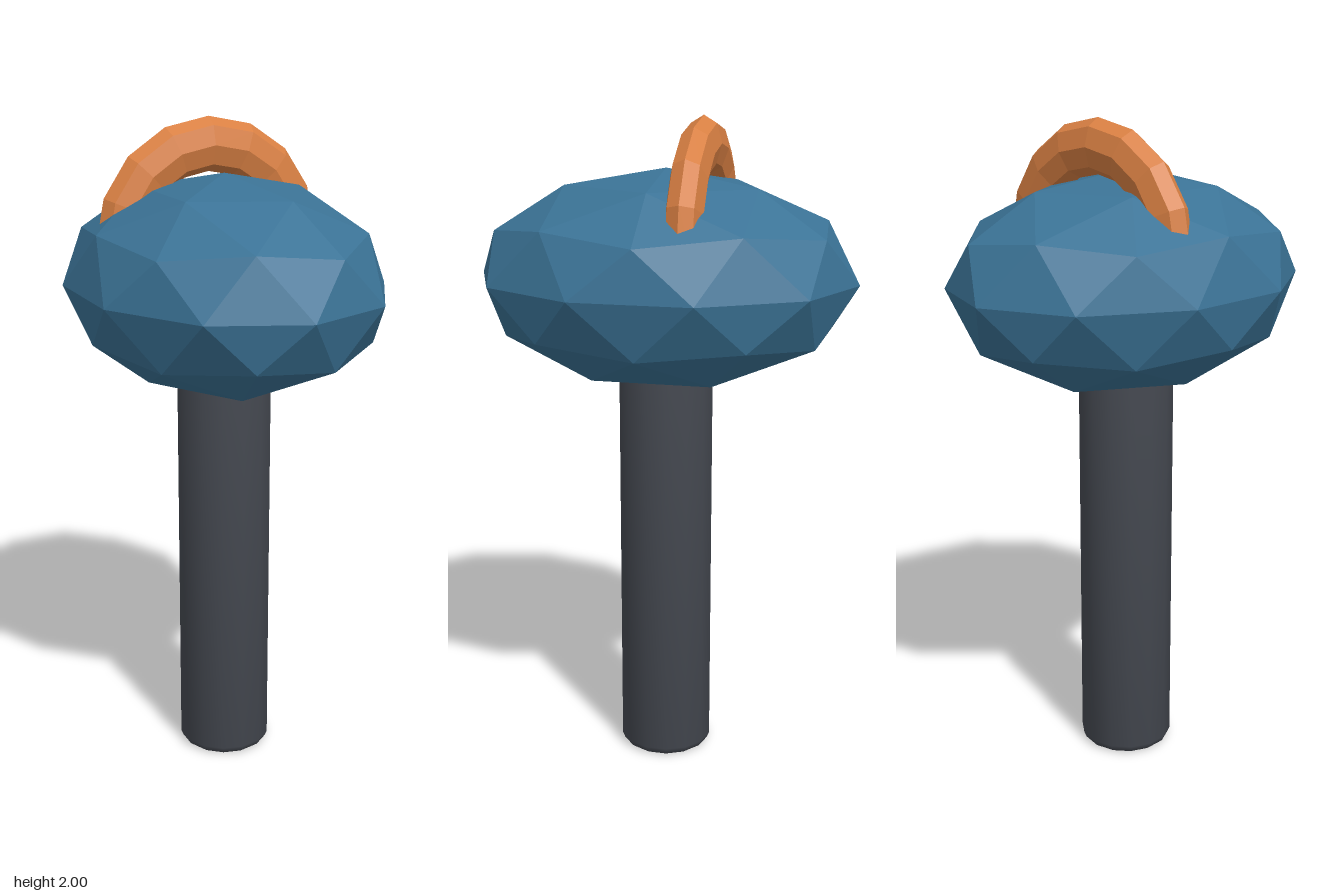
import * as THREE from 'three';
import { toCreasedNormals } from 'three/addons/utils/BufferGeometryUtils.js';

function part(name, geometry, color, flatShading = false) {
  const mesh = new THREE.Mesh(geometry, new THREE.MeshStandardMaterial({ color, flatShading }));
  mesh.name = name;
  return mesh;
}

export function createModel() {
  const model = new THREE.Group();
  model.name = 'model';

  // Round handle with a small bevel at the foot; its top is buried in the head
  const profile = [[0, 0], [0.128, 0], [0.138, 0.008], [0.145, 0.025], [0.145, 1.3], [0, 1.3]]
    .map(([r, y]) => new THREE.Vector2(r, y));
  const handle = toCreasedNormals(new THREE.LatheGeometry(profile, 14), Math.PI / 5);
  model.add(part('handle', handle, 0x464a52));

  // Faceted head: icosphere turned to stand on a corner, stretched front to back
  const head = new THREE.IcosahedronGeometry(1, 1);
  head.rotateZ(-Math.atan(2 / (1 + Math.sqrt(5))));
  head.scale(0.468, 0.326, 0.578);
  head.translate(0, 1.522, 0);
  model.add(part('head', head, 0x3b7396, true));

  // Crest: half ring with a flattened eight-sided section, ends sunk into the head
  const crest = new THREE.TorusGeometry(0.28, 0.08, 8, 8, Math.PI);
  crest.scale(1, 1, 0.68);
  crest.translate(0, 1.64, -0.112);
  model.add(part('crest', crest, 0xd98043, true));

  return model;
}
